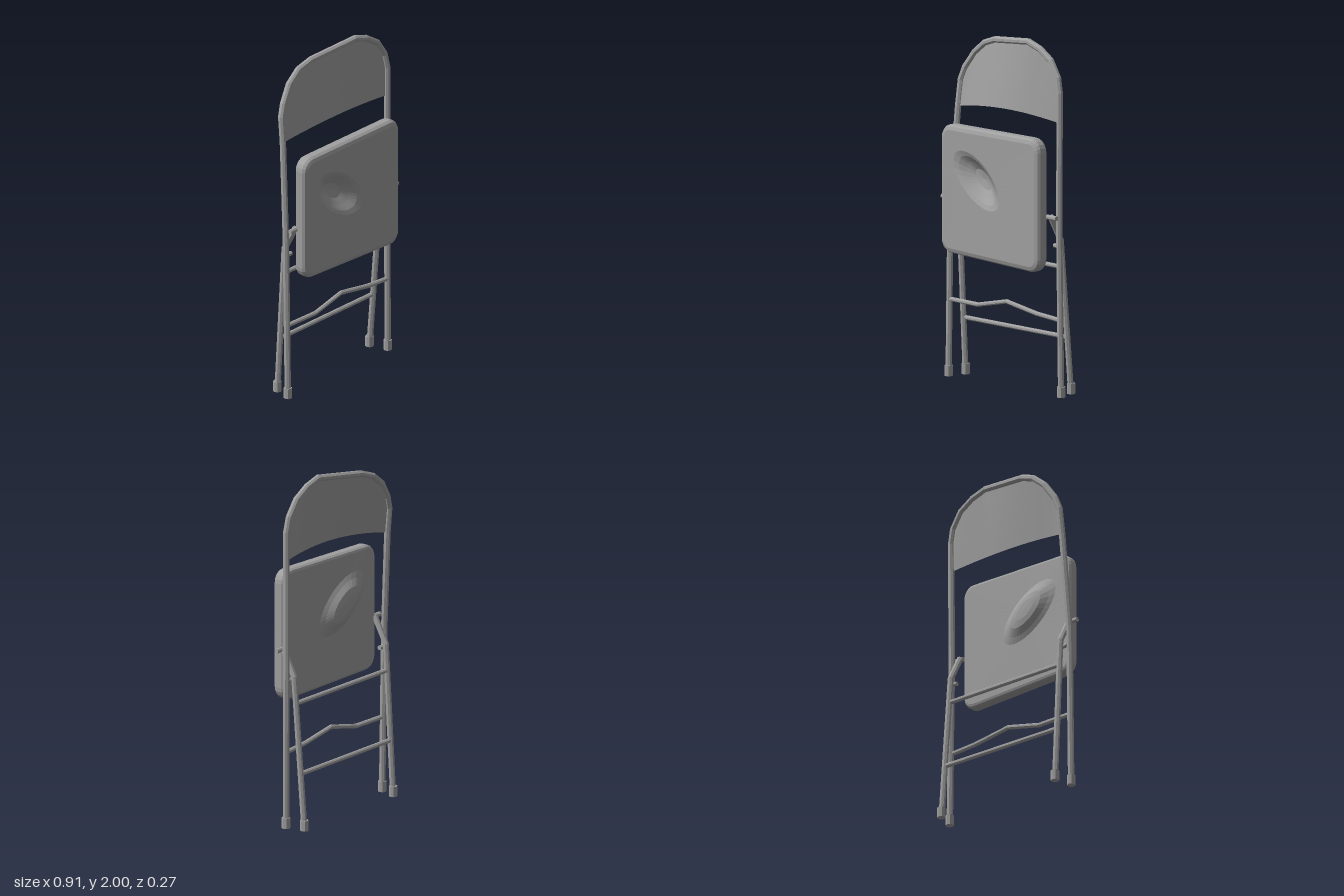
import * as THREE from 'three';

const steel = new THREE.MeshStandardMaterial({ color: 0xa0a0a0, flatShading: true, side: THREE.DoubleSide });
steel.name = 'grey steel';

const V = (x, y, z) => new THREE.Vector3(x, y, z);

// Skin a series of closed rings that all have the same number of points
function loft(rings) {
  const n = rings[0].length, index = [];
  for (let i = 0; i < rings.length - 1; i++) {
    for (let j = 0; j < n; j++) {
      const k = (j + 1) % n;
      const a = i * n + j, b = a + n, c = (i + 1) * n + k, d = i * n + k;
      index.push(a, b, c, a, c, d);
    }
  }
  const geo = new THREE.BufferGeometry().setFromPoints(rings.flat());
  geo.setIndex(index);
  const flat = geo.toNonIndexed();
  flat.computeVertexNormals();
  return flat;
}

// Capped tube with straight runs and mitred corners
function tube(points, radius, sides = 8) {
  const p = points.map((q) => V(...q));
  const last = p.length - 1;
  const ring = (i, r) => {
    const t = V(0, 0, 0);
    if (i > 0) t.add(p[i].clone().sub(p[i - 1]).normalize());
    if (i < last) t.add(p[i + 1].clone().sub(p[i]).normalize());
    t.normalize();
    const n = t.clone().cross(V(0, 0, 1)).normalize();
    const b = n.clone().cross(t);
    return Array.from({ length: sides }, (_, j) => {
      const a = ((j + 0.5) / sides) * Math.PI * 2;
      return p[i].clone().addScaledVector(n, r * Math.cos(a)).addScaledVector(b, r * Math.sin(a));
    });
  };
  return loft([ring(0, 0), ...p.map((_, i) => ring(i, radius)), ring(last, 0)]);
}

// Centre line of the main frame, from the right foot over the top to the left foot
const FRAME = [
  [-0.43, 0, 0.02], [-0.43, 0.95, 0.005], [-0.41, 1.53, -0.035], [-0.405, 1.68, -0.052],
  [-0.38, 1.75, -0.06], [-0.315, 1.845, -0.074], [-0.235, 1.91, -0.075], [-0.145, 1.942, -0.063],
  [0.165, 1.982, -0.012], [0.26, 1.953, -0.01], [0.345, 1.9, -0.008], [0.405, 1.81, -0.004],
  [0.423, 1.725, 0], [0.42, 1.0, 0.003], [0.43, 0, -0.003],
];

// Height and depth of the frame's arch above a given x
function arch(x) {
  for (let i = 3; i < 12; i++) {
    const a = FRAME[i], b = FRAME[i + 1];
    if (x <= b[0] || i === 11) {
      const t = THREE.MathUtils.clamp((x - a[0]) / (b[0] - a[0]), 0, 1);
      return [a[1] + (b[1] - a[1]) * t, a[2] + (b[2] - a[2]) * t];
    }
  }
}

// Thin backrest sheet hung between the arch and a bowed lower edge
function backrestGeometry() {
  const geo = new THREE.PlaneGeometry(1, 1, 28, 4);
  const pos = geo.attributes.position;
  for (let i = 0; i < pos.count; i++) {
    const s = pos.getX(i) + 0.5, v = pos.getY(i) + 0.5;
    const x = -0.405 + 0.825 * s;
    const bow = 4 * s * (1 - s);
    const [topY, topZ] = arch(x);
    const lowY = 1.53 + 0.025 * s + 0.037 * bow;
    const lowZ = -0.035 + 0.035 * s + 0.028 * bow;
    pos.setXYZ(i, x, lowY + (topY - lowY) * v, lowZ + (topZ - lowZ) * v);
  }
  geo.computeVertexNormals();
  return geo;
}

// Rounded seat pan with an oval dent pressed through towards the back
function seatGeometry() {
  const cx = -0.11, cy = 1.17, tilt = -0.66, A = 0.215, B = 0.11;
  const x0 = -0.4, x1 = 0.383, y0 = 0.718, y1 = 1.463, r = 0.075;
  const outline = (inset) => {
    const pts = [], q = r - inset;
    const corners = [[x1 - r, y0 + r], [x1 - r, y1 - r], [x0 + r, y1 - r], [x0 + r, y0 + r]];
    corners.forEach(([px, py], c) => {
      for (let k = 0; k <= 5; k++) {
        const a = (c - 1 + k / 5) * Math.PI / 2;
        pts.push([px + q * Math.cos(a), py + q * Math.sin(a)]);
      }
      // extra points along the straight side
      const [nx, ny] = corners[(c + 1) % 4], a = c * Math.PI / 2;
      for (let k = 1; k < 9; k++) {
        const t = k / 9;
        pts.push([px + (nx - px) * t + q * Math.cos(a), py + (ny - py) * t + q * Math.sin(a)]);
      }
    });
    return pts;
  };
  const place = (x, y, z) => V(x, y + 0.022 * x * (y - 1.09) / 0.37, z + 0.018 * x);
  const edge = (inset, z) => outline(inset).map(([x, y]) => place(x, y, z));
  const oval = (scale, z) => outline(0).map(([x, y]) => {
    const a = Math.atan2(y - cy, x - cx);
    const d = scale / Math.hypot(Math.cos(a - tilt) / A, Math.sin(a - tilt) / B);
    return place(cx + d * Math.cos(a), cy + d * Math.sin(a), z);
  });
  return loft([
    oval(0, 0.058), oval(0.35, 0.066), oval(0.6, 0.09), oval(0.82, 0.115), oval(1, 0.126),
    edge(0.03, 0.127), edge(0.01, 0.12), edge(0, 0.105),
    edge(0, 0.065), edge(0.008, 0.052), edge(0.02, 0.047),
    oval(1.05, 0.044), oval(0.85, 0.031), oval(0.6, 0.008), oval(0.35, 0.0), oval(0, -0.002),
  ]);
}

export function createModel() {
  const chair = new THREE.Group();
  chair.name = 'foldingChair';
  const add = (name, geo) => {
    const mesh = new THREE.Mesh(geo, steel);
    mesh.name = name;
    chair.add(mesh);
    return mesh;
  };

  add('mainFrame', tube(FRAME, 0.019));
  add('backrest', backrestGeometry());
  add('seat', seatGeometry());

  for (const [side, s, rearZ, frontZ] of [['left', 1, -0.112, -0.003], ['right', -1, -0.085, 0.02]]) {
    // Rear leg, bent forward to meet the seat pivot
    add(side + 'RearLeg', tube([[s * 0.4, 0, rearZ], [s * 0.397, 0.88, -0.035], [s * 0.395, 1.03, 0.045]], 0.018));
    // Pivot pins
    add(side + 'SeatPin', tube([[s * 0.375, 1.025, 0.052], [s * 0.448, 1.025, 0.052]], 0.014));
    add(side + 'LegPin', tube([[s * 0.375, 0.855, -0.005], [s * 0.425, 0.855, -0.005]], 0.013));
    // Foot caps
    for (const [end, x, z] of [['Front', 0.43, frontZ], ['Rear', 0.4, rearZ]]) {
      add(side + end + 'Foot', new THREE.CylinderGeometry(0.024, 0.024, 0.06, 8)).position.set(s * x, 0.03, z);
    }
  }

  // Cross bars
  add('frontBentBar', tube([[-0.43, 0.437, 0.015], [-0.2, 0.437, 0.018], [0.02, 0.487, 0.014], [0.25, 0.45, 0.008], [0.425, 0.437, 0.003]], 0.013));
  add('rearLowerBar', tube([[-0.4, 0.325, -0.068], [0.4, 0.325, -0.085]], 0.013));
  add('rearUpperBar', tube([[-0.4, 0.728, -0.043], [0.4, 0.728, -0.048]], 0.013));

  return chair;
}
